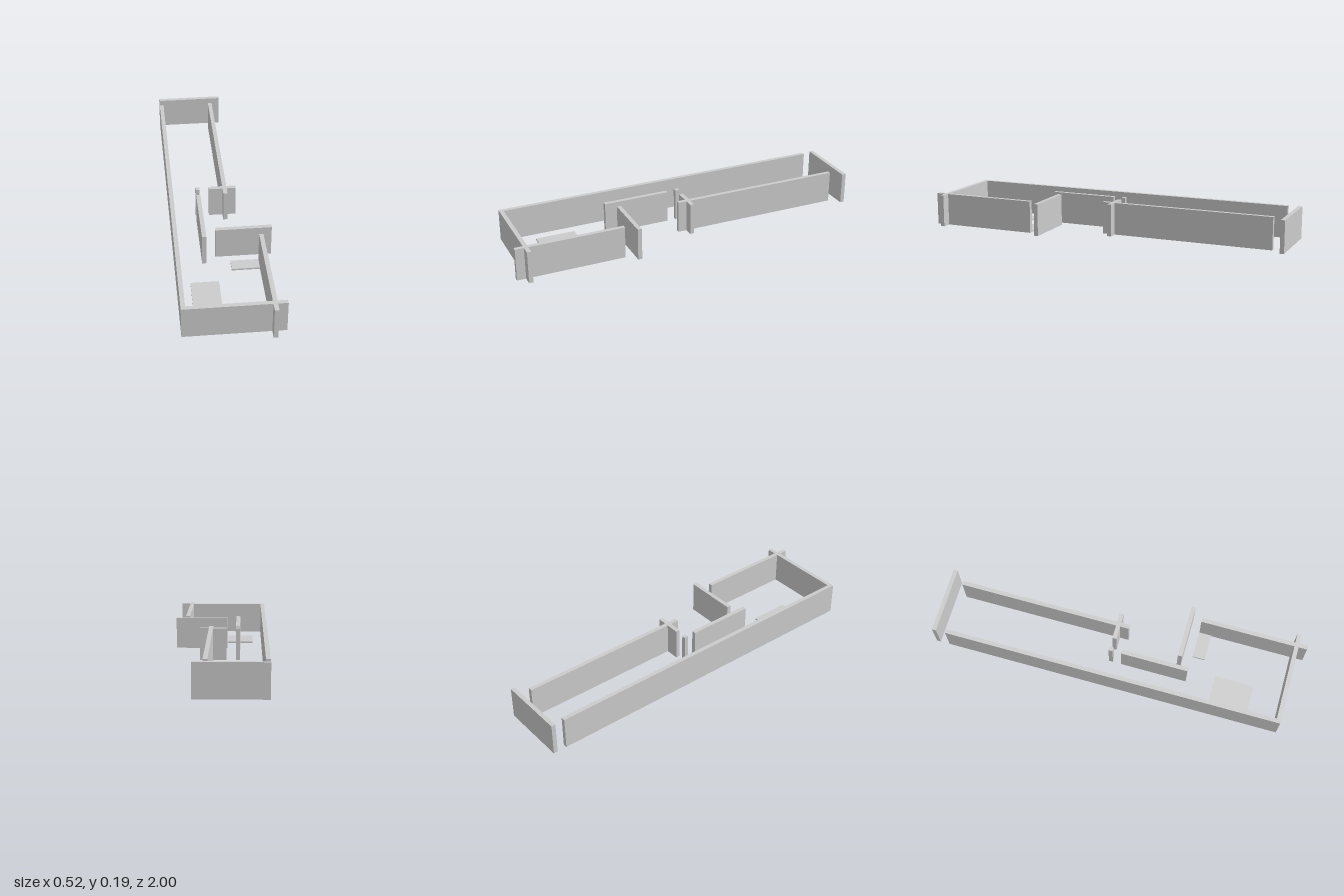
import * as THREE from 'three';

const material = new THREE.MeshStandardMaterial({ color: 0xcccccc, flatShading: true });
const WALL_BASE = 0.009, WALL_TOP = 0.186;

// Axis-aligned box from its extents
function slab(name, x0, x1, z0, z1, y0 = WALL_BASE, y1 = WALL_TOP) {
  const mesh = new THREE.Mesh(new THREE.BoxGeometry(x1 - x0, y1 - y0, z1 - z0), material);
  mesh.position.set((x0 + x1) / 2, (y0 + y1) / 2, (z0 + z1) / 2);
  mesh.name = name;
  return mesh;
}

export function createModel() {
  const model = new THREE.Group();
  model.name = 'floorPlanWalls';

  // Walls running front to back: x0, x1, z0, z1
  const longWalls = [
    ['longRightWall', -0.26, -0.237, -0.925, 0.952],
    ['rearLeftWall', 0.037, 0.06, -0.925, 0.034],
    ['innerWall', -0.112, -0.089, 0.034, 0.405],
    ['frontLeftWall', 0.186, 0.209, 0.407, 1.0],
  ];

  // Walls running side to side, and the free-standing post
  const crossWalls = [
    ['rearWall', -0.26, 0.11, -1.0, -0.977],
    ['middleCrossWall', -0.038, 0.11, -0.037, -0.014],
    ['post', -0.112, -0.089, -0.037, -0.014],
    ['frontCrossWall', -0.038, 0.26, 0.333, 0.356],
    ['frontWall', -0.26, 0.26, 0.929, 0.952],
  ];
  for (const wall of [...longWalls, ...crossWalls]) model.add(slab(...wall));

  // Thin floor plates
  model.add(slab('floorPlate', -0.186, -0.038, 0.556, 0.775, 0, 0.009));
  model.add(slab('sidePlate', 0.037, 0.186, 0.407, 0.477, 0.009, 0.018));
  return model;
}
